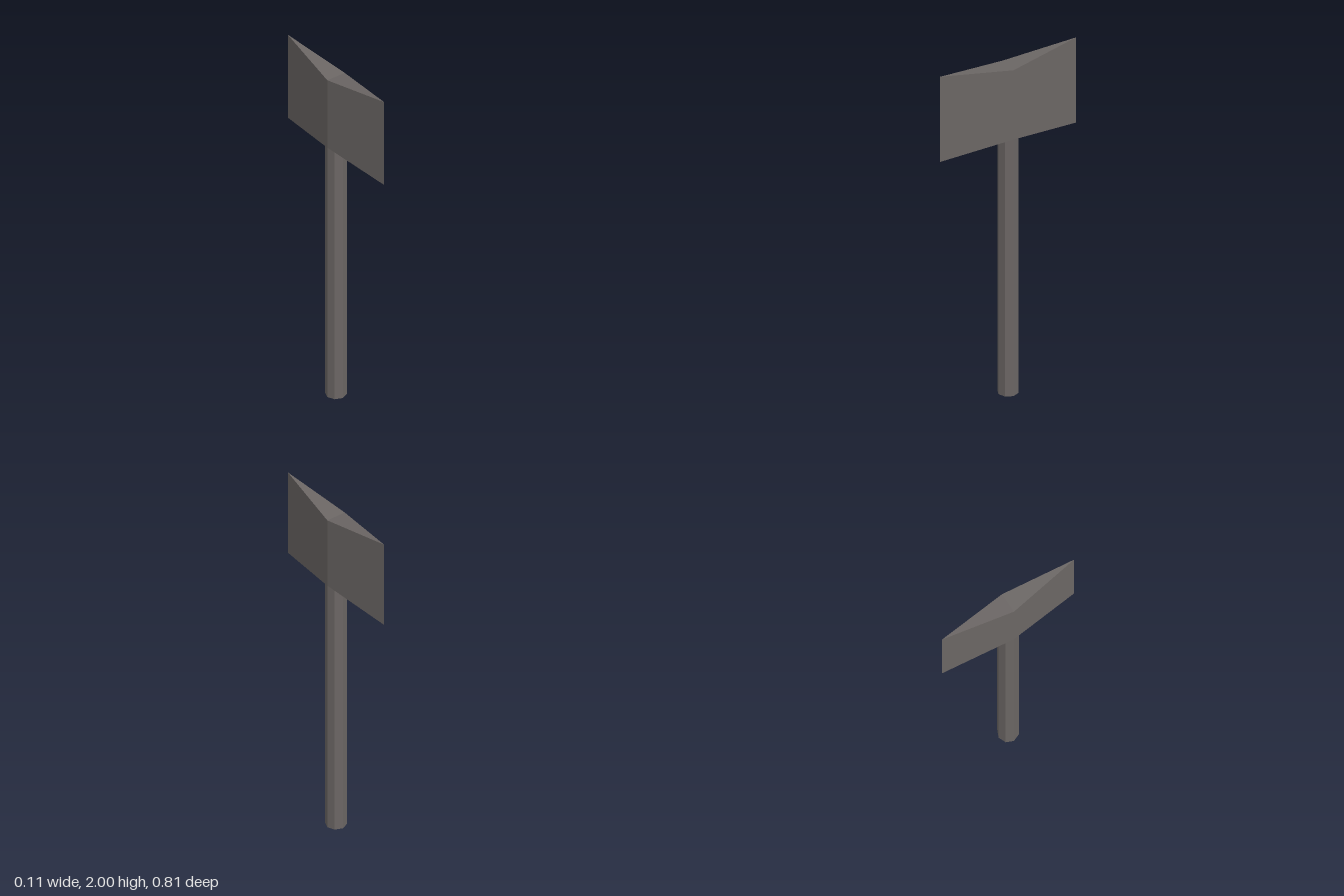
import * as THREE from 'three';

const RADIUS = 0.057;

// Diamond-section double blade: wide at the middle, flaring to two sharp edges
function bladeGeometry() {
  const ring = [[0, 0.405, 1.49, 2], [RADIUS, 0, 1.535, 1.95], [0, -0.405, 1.49, 2], [-RADIUS, 0, 1.535, 1.95]];
  const low = ring.map(([x, z, y]) => [x, y, z]);
  const high = ring.map(([x, z, , y]) => [x, y, z]);
  const points = [];
  const triangle = (...corners) => corners.forEach((c) => points.push(...c));
  for (let i = 0; i < 4; i++) {
    const j = (i + 1) % 4;
    triangle(low[i], low[j], high[j]);
    triangle(low[i], high[j], high[i]);
  }
  // Top and bottom caps fold along the middle
  for (const i of [0, 2]) {
    const next = (i + 1) % 4, prev = (i + 3) % 4;
    triangle(high[prev], high[i], high[next]);
    triangle(low[next], low[i], low[prev]);
  }
  const geometry = new THREE.BufferGeometry();
  geometry.setAttribute('position', new THREE.Float32BufferAttribute(points, 3));
  geometry.computeVertexNormals();
  return geometry;
}

export function createModel() {
  const model = new THREE.Group();
  model.name = 'doubleBladedAxe';

  const grey = new THREE.MeshStandardMaterial({ color: 0x6b6664 });
  grey.name = 'warmGrey';
  grey.flatShading = true;

  // Eight-sided handle, its top tucked into the blade
  const height = 1.54;
  const handle = new THREE.Mesh(new THREE.CylinderGeometry(RADIUS, RADIUS, height, 8), grey);
  handle.name = 'handle';
  handle.position.y = height / 2;

  const blade = new THREE.Mesh(bladeGeometry(), grey);
  blade.name = 'blade';

  model.add(handle, blade);
  return model;
}
